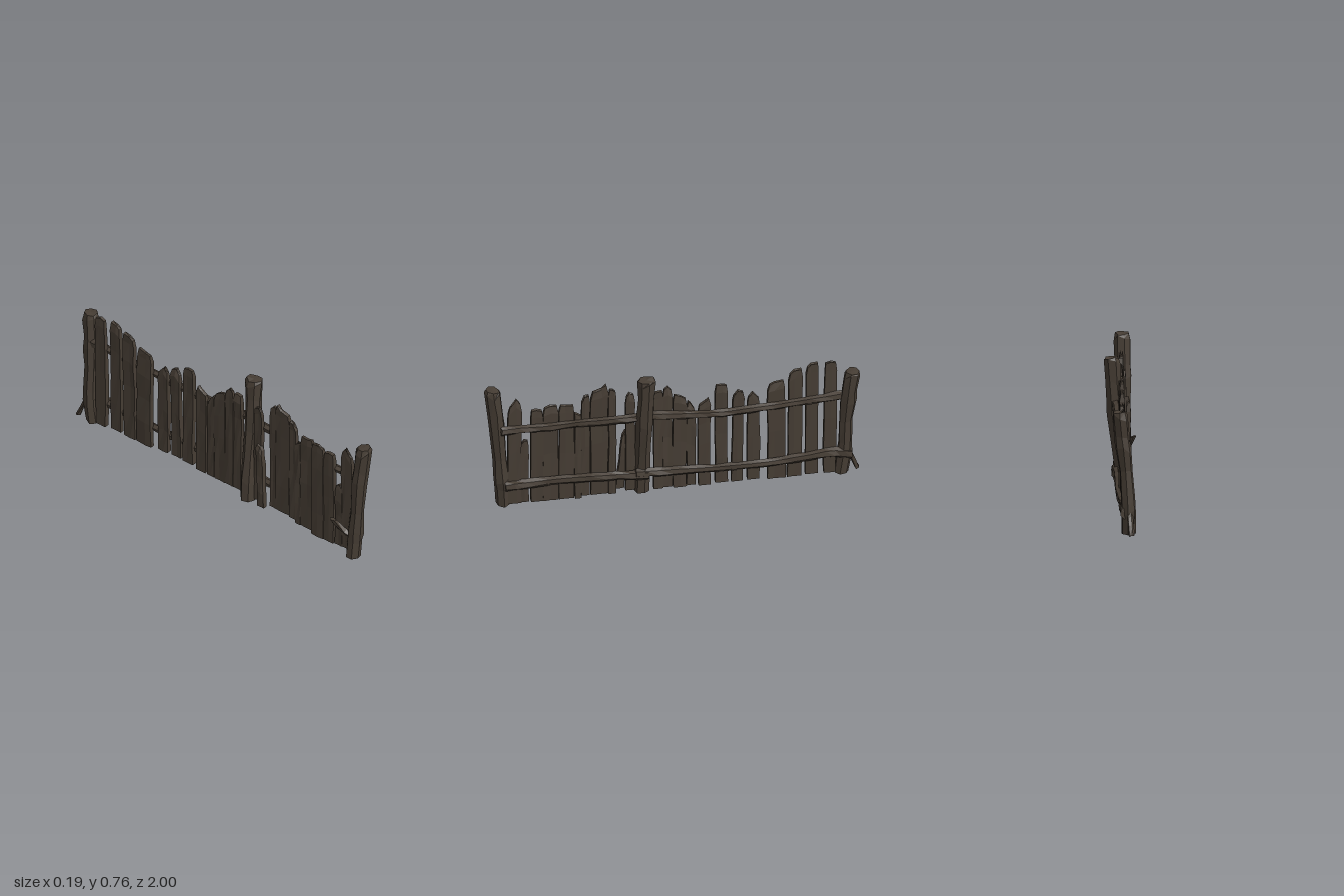
import * as THREE from 'three';

// Small seeded generator for hand-hewn irregularity
let seed = 7;
const rnd = () => {
  seed = (seed * 16807) % 2147483647;
  return seed / 2147483647;
};
const jitter = (a) => (rnd() * 2 - 1) * a;

const wood = new THREE.MeshStandardMaterial({ color: 0x463d34 });
wood.name = 'darkWeatheredWood';

// Skins a list of equal-length rings (counter-clockwise seen from the far end), faceted, capped
function loft(name, rings) {
  const n = rings[0].length;
  const pos = rings.flat(2);
  const idx = [];
  for (let r = 0; r < rings.length - 1; r++) {
    for (let i = 0; i < n; i++) {
      const j = (i + 1) % n;
      const a = r * n + i, b = r * n + j, c = a + n, d = b + n;
      idx.push(a, b, d, a, d, c);
    }
  }
  [0, rings.length - 1].forEach((r, end) => {
    const centre = pos.length / 3;
    for (let k = 0; k < 3; k++) pos.push(rings[r].reduce((s, p) => s + p[k], 0) / n);
    for (let i = 0; i < n; i++) {
      const a = r * n + i, b = r * n + ((i + 1) % n);
      if (end) idx.push(centre, a, b);
      else idx.push(centre, b, a);
    }
  });
  const g = new THREE.BufferGeometry();
  g.setAttribute('position', new THREE.Float32BufferAttribute(pos, 3));
  g.setIndex(idx);
  const flat = g.toNonIndexed();
  flat.computeVertexNormals();
  const mesh = new THREE.Mesh(flat, wood);
  mesh.name = name;
  return mesh;
}

// Upright log: stations are [x, y, z, radiusX, radiusZ]
function log(name, stations, sides = 7) {
  const phase = rnd();
  return loft(name, stations.map(([x, y, z, rx, rz], s) =>
    Array.from({ length: sides }, (_, i) => {
      const t = ((i + phase) / sides) * Math.PI * 2;
      const k = 1 + jitter(0.07);
      const end = s === 0 || s === stations.length - 1;
      return [x + Math.cos(t) * rx * k, y + jitter(end ? 0.006 : 0.02), z - Math.sin(t) * rz * k];
    })));
}

// Horizontal rail running towards -z: stations are [x, y, z, radius]
function rail(name, stations) {
  const curve = new THREE.CatmullRomCurve3(stations.map(([x, y, z]) => new THREE.Vector3(x, y, z)));
  const count = stations.length * 2;
  const sides = 6;
  return loft(name, Array.from({ length: count + 1 }, (_, s) => {
    const p = curve.getPoint(s / count);
    const r = stations[Math.min(stations.length - 1, Math.round((s / count) * (stations.length - 1)))][3];
    return Array.from({ length: sides }, (_, i) => {
      const t = ((i + 0.3) / sides) * Math.PI * 2;
      const k = r * (1 + jitter(0.16));
      return [p.x - Math.cos(t) * k * 0.85, p.y + Math.sin(t) * k, p.z + jitter(0.012)];
    });
  }));
}

// The fence line bows gently sideways along its length
const line = new THREE.CatmullRomCurve3([
  [-0.02, 0, 1], [-0.02, 0, 0.6], [0, 0, 0.3], [0.004, 0, 0], [0.008, 0, -0.4], [0, 0, -0.7], [-0.012, 0, -1],
].map((p) => new THREE.Vector3(...p)));
const lineX = (z) => line.getPoint(THREE.MathUtils.clamp((1 - z) / 2, 0, 1)).x;

// Plank with a broken top: z edges, three top heights, bottom, top shift in z, sideways offset and lean
function plank(name, [z0, z1, h0, hm, h1, bottom = 0.02, shift = 0, dx = 0, lean = 0]) {
  const zm = (z0 + z1) / 2 + jitter((z0 - z1) * 0.15);
  const x = lineX(zm) + dx + jitter(0.004);
  const b = bottom + jitter(0.006);
  const rings = [0, 0.25, 0.5, 0.75, 0.93, 1].map((t) => {
    const th = (t === 1 ? 0.009 : 0.013) + jitter(0.002);
    const cx = x + lean * t + jitter(0.003);
    const inset = t === 1 ? (z0 - z1) * 0.1 : 0;
    const e0 = z0 + shift * t - inset + jitter(0.003);
    const e1 = z1 + shift * t + inset + jitter(0.003);
    const em = zm + shift * t;
    const y = (h) => b + (h - b) * t;
    const ridge = jitter(0.004);
    return [
      [cx + th, y(h0), e0], [cx + th + ridge, y(hm), em], [cx + th, y(h1), e1],
      [cx - th, y(h1), e1], [cx - th + ridge, y(hm), em], [cx - th, y(h0), e0],
    ];
  });
  return loft(name, rings);
}

export function createModel() {
  seed = 7;
  const fence = new THREE.Group();
  fence.name = 'brokenPlankFence';

  // Three leaning posts
  fence.add(log('frontPost', [
    [-0.04, 0.008, 0.895, 0.042, 0.04], [-0.036, 0.1, 0.9, 0.039, 0.041], [-0.035, 0.17, 0.905, 0.044, 0.043],
    [-0.034, 0.3, 0.915, 0.038, 0.037], [-0.034, 0.5, 0.93, 0.045, 0.043], [-0.03, 0.58, 0.937, 0.043, 0.041],
    [-0.028, 0.71, 0.953, 0.047, 0.044], [-0.028, 0.738, 0.956, 0.037, 0.036],
  ]));
  fence.add(log('middlePost', [
    [-0.018, 0.015, 0.165, 0.046, 0.044], [-0.012, 0.14, 0.163, 0.046, 0.046], [0.008, 0.3, 0.162, 0.042, 0.04],
    [0.03, 0.45, 0.158, 0.045, 0.045], [0.034, 0.54, 0.157, 0.043, 0.044], [0.042, 0.64, 0.152, 0.043, 0.042],
    [0.05, 0.735, 0.15, 0.046, 0.049], [0.05, 0.756, 0.15, 0.038, 0.042],
  ]));
  fence.add(log('backPost', [
    [-0.008, 0.012, -0.897, 0.037, 0.039], [-0.008, 0.12, -0.912, 0.042, 0.044], [-0.004, 0.2, -0.918, 0.037, 0.036],
    [0.006, 0.34, -0.92, 0.034, 0.035], [0.018, 0.46, -0.93, 0.042, 0.045], [0.026, 0.52, -0.933, 0.042, 0.042],
    [0.036, 0.64, -0.948, 0.042, 0.045], [0.038, 0.665, -0.95, 0.036, 0.038],
  ]));

  // Rails nailed across the planks
  const rx = (z, d = 0.02) => lineX(z) + d;
  const span = (list) => list.map(([z, y, r, d]) => [rx(z, d), y, z, r]);
  fence.add(rail('upperFrontRail', span([
    [0.92, 0.49, 0.027], [0.8, 0.49, 0.025], [0.66, 0.485, 0.024], [0.5, 0.497, 0.023], [0.34, 0.5, 0.024], [0.17, 0.505, 0.026],
  ])));
  fence.add(rail('upperBackRail', span([
    [0.17, 0.515, 0.027, 0.03], [0.05, 0.5, 0.027], [-0.1, 0.488, 0.024], [-0.25, 0.48, 0.023], [-0.42, 0.485, 0.022],
    [-0.6, 0.49, 0.022], [-0.78, 0.497, 0.023], [-0.94, 0.505, 0.029],
  ])));
  fence.add(rail('lowerFrontRail', span([
    [0.9, 0.135, 0.029], [0.76, 0.14, 0.027], [0.6, 0.145, 0.025], [0.42, 0.147, 0.025], [0.26, 0.145, 0.026], [0.14, 0.14, 0.03, 0.024],
  ])));
  fence.add(rail('lowerBackRail', span([
    [0.21, 0.155, 0.027, 0.028], [0.05, 0.145, 0.026], [-0.12, 0.137, 0.024], [-0.3, 0.132, 0.023], [-0.5, 0.13, 0.023],
    [-0.68, 0.138, 0.025], [-0.84, 0.148, 0.029], [-0.94, 0.125, 0.032],
  ])));

  // Planks of both bays, front to back
  const planks = new THREE.Group();
  planks.name = 'planks';
  [
    [0.875, 0.805, 0.62, 0.67, 0.64, 0.015],
    [0.81, 0.765, 0.38, 0.41, 0.4, 0.015],
    [0.755, 0.687, 0.585, 0.59, 0.58, 0.012],
    [0.686, 0.606, 0.59, 0.605, 0.6, 0.012],
    [0.604, 0.524, 0.605, 0.6, 0.6, 0.012],
    [0.523, 0.485, 0.55, 0.545, 0.53, 0.018],
    [0.488, 0.442, 0.61, 0.65, 0.655, 0.03],
    [0.439, 0.346, 0.675, 0.69, 0.715, 0.03],
    [0.344, 0.305, 0.685, 0.685, 0.67, 0.03],
    [0.297, 0.257, 0.38, 0.4, 0.41, 0.03, -0.03, -0.04, 0.02],
    [0.25, 0.2, 0.62, 0.645, 0.63, 0.03, 0.005, -0.01],
    [0.107, 0.056, 0.64, 0.645, 0.645, 0.03],
    [0.054, 0.002, 0.65, 0.665, 0.64, 0.03],
    [-0.001, -0.072, 0.61, 0.6, 0.58, 0.03],
    [-0.076, -0.122, 0.56, 0.545, 0.51, 0.03],
    [-0.133, -0.2, 0.53, 0.555, 0.57, 0.03],
    [-0.225, -0.29, 0.645, 0.648, 0.64, 0.03],
    [-0.308, -0.368, 0.57, 0.605, 0.59, 0.03, -0.01],
    [-0.395, -0.46, 0.55, 0.58, 0.54, 0.03],
    [-0.505, -0.598, 0.61, 0.62, 0.63, 0.018],
    [-0.61, -0.685, 0.66, 0.68, 0.685, 0.02, -0.008],
    [-0.705, -0.768, 0.69, 0.71, 0.715, 0.02, -0.008],
    [-0.8, -0.865, 0.7, 0.71, 0.7, 0.02, -0.01],
  ].forEach((p, i) => planks.add(plank(`plank${i + 1}`, p)));
  fence.add(planks);

  // Broken stubs poking out behind and at the far end
  fence.add(log('brokenBranch', [
    [-0.04, 0.13, 0.87, 0.02, 0.03], [-0.055, 0.15, 0.83, 0.02, 0.03], [-0.08, 0.215, 0.79, 0.016, 0.022],
  ], 5));
  fence.add(log('endProp', [
    [-0.022, 0.012, -0.985, 0.016, 0.014], [-0.018, 0.07, -0.962, 0.017, 0.018], [-0.01, 0.15, -0.925, 0.016, 0.018],
  ], 5));
  return fence;
}
